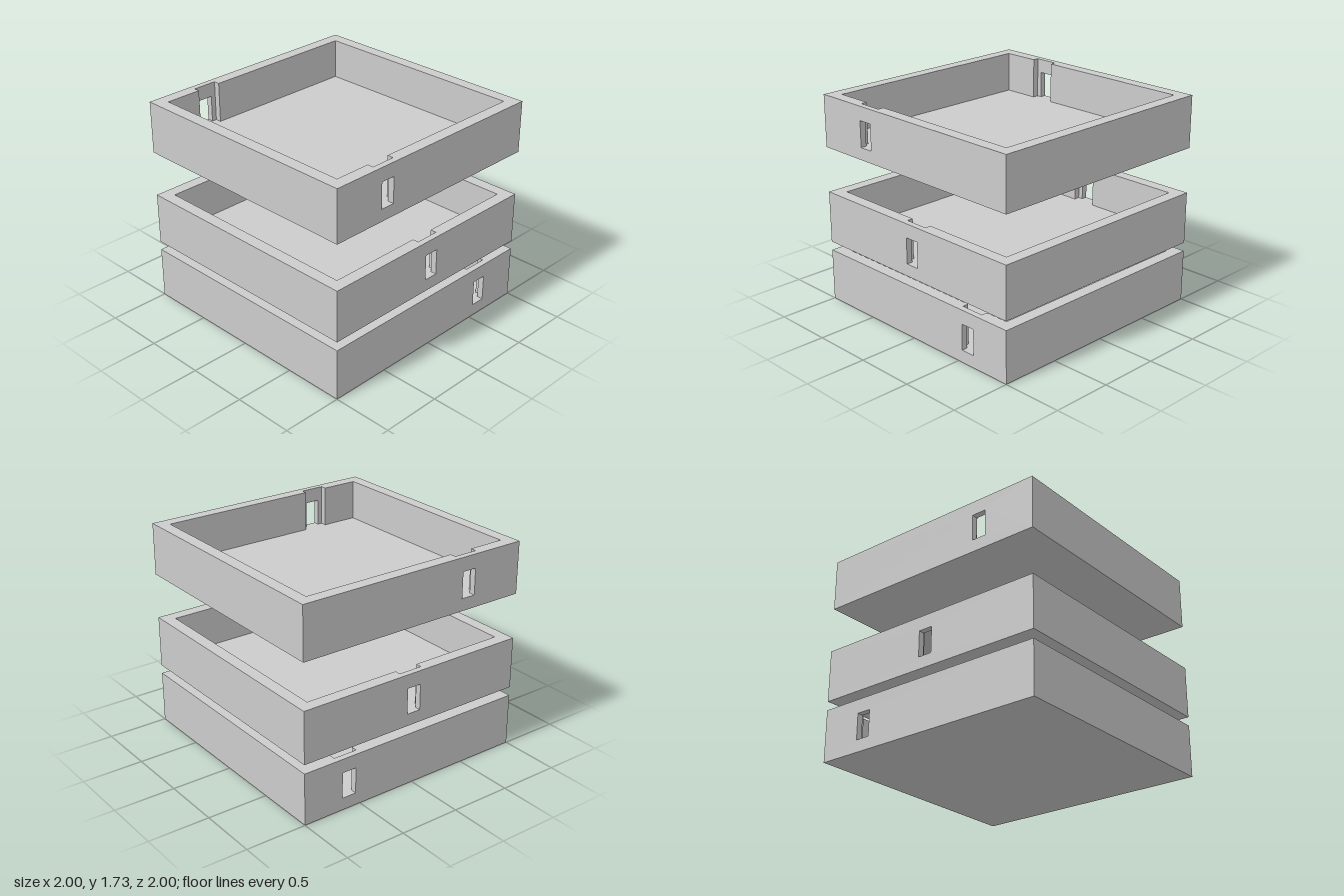
import * as THREE from 'three';
import { mergeGeometries } from 'three/addons/utils/BufferGeometryUtils.js';

const H = 0.427;                 // storey height
const FLOOR = 0.1;               // slab thickness
const INNER = 0.9;               // inner wall face
const NICHE = 0.95;              // back of the door niche
const NICHE_HALF = 0.1;
const DOOR_HALF = 0.06;
const DOOR_TOP = 0.313;

const shapeOf = (pts) => new THREE.Shape(pts.map(([x, y]) => new THREE.Vector2(x, y)));
const rect = (x0, y0, x1, y1) => shapeOf([[x0, y0], [x1, y0], [x1, y1], [x0, y1]]);

// Vertical rectangle from a to b, given as [x, z]; a is on the viewer's left
function wall(a, b, y0, y1) {
  const dx = b[0] - a[0], dz = b[1] - a[1];
  return new THREE.PlaneGeometry(Math.hypot(dx, dz), y1 - y0)
    .rotateY(Math.atan2(-dz, dx))
    .translate((a[0] + b[0]) / 2, (y0 + y1) / 2, (a[1] + b[1]) / 2);
}

// Horizontal face at height y, facing up
const level = (shape, y) =>
  new THREE.ShapeGeometry(shape).rotateX(-Math.PI / 2).translate(0, y, 0);

// Open-topped storey with opposite doors centred on x = d
function storeyGeometry(d) {
  const n0 = d - NICHE_HALF, n1 = d + NICHE_HALF, w = INNER, n = NICHE;
  const room = [
    [-w, -w], [n0, -w], [n0, -n], [n1, -n], [n1, -w], [w, -w],
    [w, w], [n1, w], [n1, n], [n0, n], [n0, w], [-w, w],
  ];
  const parts = [];

  // Underside, floor and wall tops
  parts.push(new THREE.PlaneGeometry(2, 2).rotateX(Math.PI / 2));
  const plan = room.map(([x, z]) => [x, -z]);
  parts.push(level(shapeOf(plan), FLOOR));
  const rim = rect(-1, -1, 1, 1);
  rim.holes.push(shapeOf(plan));
  parts.push(level(rim, H));

  // Plain outer sides
  parts.push(wall([1, 1], [1, -1], 0, H), wall([-1, -1], [-1, 1], 0, H));

  // Inner walls, leaving the niche backs (segments 2 and 8) for the doors
  room.forEach((p, i) => {
    if (i !== 2 && i !== 8) parts.push(wall(p, room[(i + 1) % room.length], FLOOR, H));
  });

  // Front and back: outer face, niche back and door reveals
  for (const s of [1, -1]) {
    const turn = s > 0 ? 0 : Math.PI;
    const face = rect(-1, 0, 1, H);
    face.holes.push(rect(s * d - DOOR_HALF, FLOOR, s * d + DOOR_HALF, DOOR_TOP));
    parts.push(new THREE.ShapeGeometry(face).translate(0, 0, 1).rotateY(turn));

    const back = shapeOf([
      [-NICHE_HALF, FLOOR], [-DOOR_HALF, FLOOR], [-DOOR_HALF, DOOR_TOP], [DOOR_HALF, DOOR_TOP],
      [DOOR_HALF, FLOOR], [NICHE_HALF, FLOOR], [NICHE_HALF, H], [-NICHE_HALF, H],
    ]);
    parts.push(new THREE.ShapeGeometry(back).rotateY(Math.PI - turn).translate(d, 0, s * n));

    const near = Math.max(s, s * n), far = Math.min(s, s * n);
    const l = d - DOOR_HALF, r = d + DOOR_HALF, mid = (near + far) / 2;
    parts.push(wall([l, near], [l, far], FLOOR, DOOR_TOP));
    parts.push(wall([r, far], [r, near], FLOOR, DOOR_TOP));
    const slab = () => new THREE.PlaneGeometry(2 * DOOR_HALF, 1 - n);
    parts.push(slab().rotateX(-Math.PI / 2).translate(d, FLOOR, mid));
    parts.push(slab().rotateX(Math.PI / 2).translate(d, DOOR_TOP, mid));
  }
  return mergeGeometries(parts);
}

export function createModel() {
  const model = new THREE.Group();
  model.name = 'stackedStoreys';
  const material = new THREE.MeshStandardMaterial({ color: 0xcccccc, flatShading: true });
  const storeys = [
    ['lowerStorey', 0, 0.6],
    ['middleStorey', 0.5, 0],
    ['upperStorey', 1.3, -0.5],
  ];
  for (const [name, y, door] of storeys) {
    const mesh = new THREE.Mesh(storeyGeometry(door), material);
    mesh.name = name;
    mesh.position.y = y;
    model.add(mesh);
  }
  return model;
}
